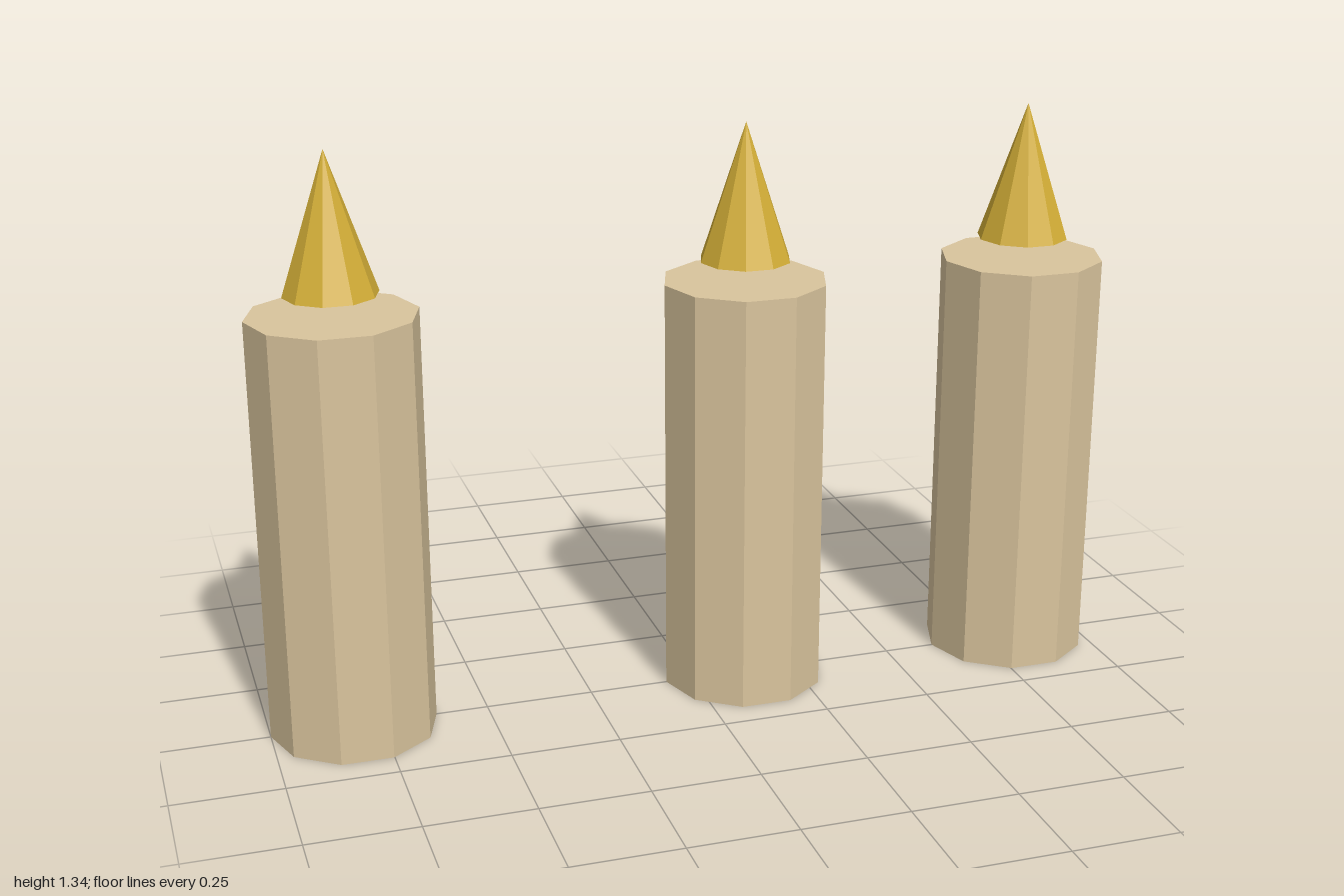
import * as THREE from 'three';

const SIDES = 10;
const wax = new THREE.MeshStandardMaterial({ color: 0xd9c49d, flatShading: true });
wax.name = 'wax';
const flameGold = new THREE.MeshStandardMaterial({ color: 0xd4af37, flatShading: true });
flameGold.name = 'flameGold';

// Quarter turn puts corners of the ten-sided section on the x axis
const bodyGeometry = new THREE.CylinderGeometry(0.19, 0.19, 0.98, SIDES).rotateY(Math.PI / 2).translate(0, 0.49, 0);
const flameGeometry = new THREE.ConeGeometry(0.105, 0.315, SIDES).rotateY(Math.PI / 2).translate(0, 1.1825, 0);

function createCandle(name, x) {
  const candle = new THREE.Group();
  candle.name = name;
  candle.position.x = x;

  const body = new THREE.Mesh(bodyGeometry, wax);
  body.name = 'candleBody';

  // Flame floats just above the body
  const flame = new THREE.Mesh(flameGeometry, flameGold);
  flame.name = 'flame';

  candle.add(body, flame);
  return candle;
}

export function createModel() {
  const model = new THREE.Group();
  model.name = 'candles';
  model.add(
    createCandle('rightCandle', -0.81),
    createCandle('middleCandle', 0.125),
    createCandle('leftCandle', 0.81),
  );
  return model;
}
